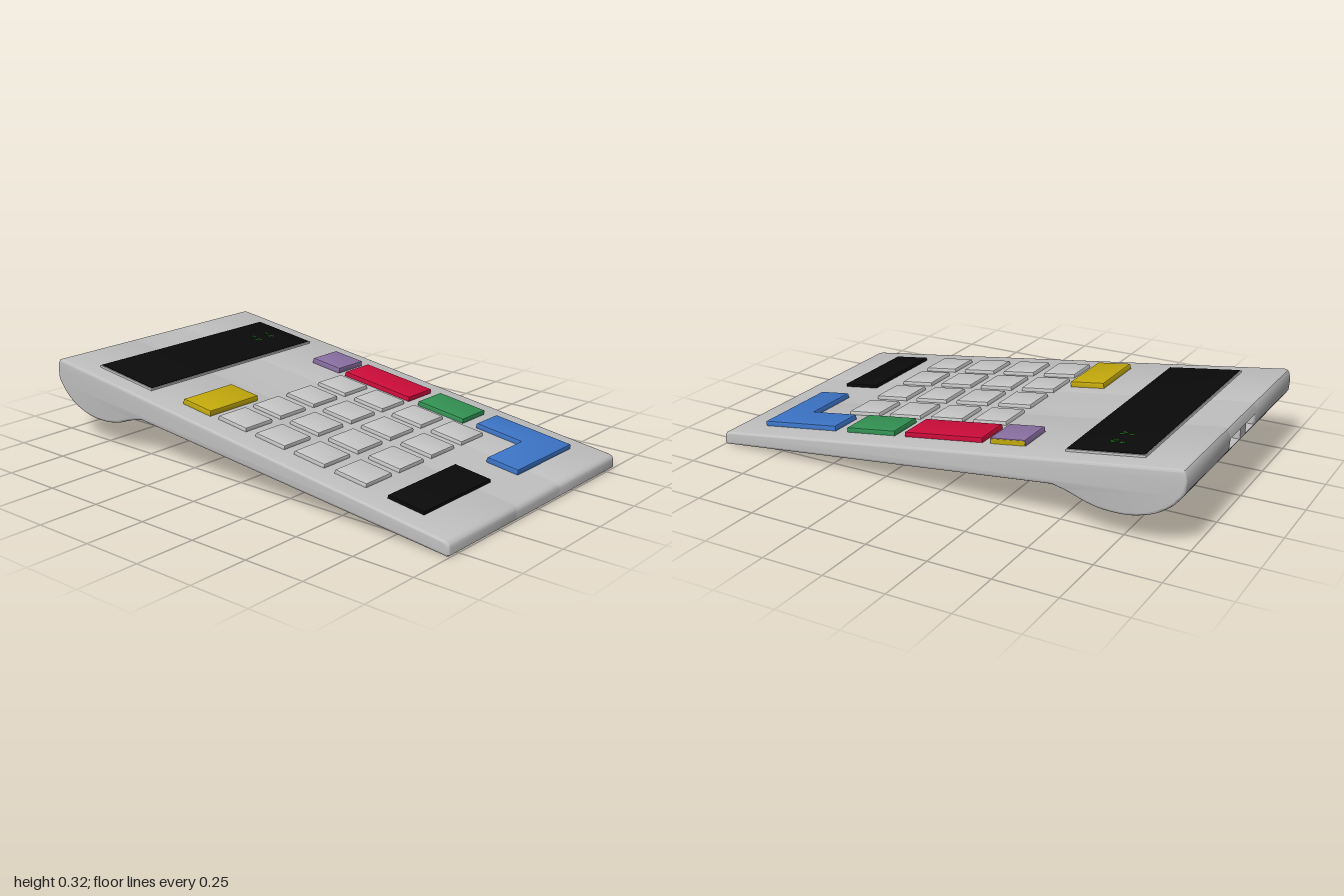
import * as THREE from 'three';
import { toCreasedNormals } from 'three/addons/utils/BufferGeometryUtils.js';

const mat = (name, color) => {
  const m = new THREE.MeshStandardMaterial({ color });
  m.name = name;
  return m;
};

export function createModel() {
  const grey = mat('case grey', 0xc0c0c0);
  const light = mat('key grey', 0xc6c6c6);
  const black = mat('black', 0x0a0a0a);
  const yellow = mat('yellow', 0xc4aa0c);
  const purple = mat('purple', 0x8a70a2);
  const red = mat('red', 0xcc0c3a);
  const green = mat('green', 0x329152);
  const blue = mat('blue', 0x3c74c6);
  const lime = mat('display green', 0x18a018);

  const model = new THREE.Group();
  model.name = 'calculator';
  const add = (parent, name, geometry, material) => {
    const mesh = new THREE.Mesh(geometry, material);
    mesh.name = name;
    parent.add(mesh);
    return mesh;
  };

  // Side profile as [z, y]: flat base, rounded rear foot, back wall, sloping top
  const toV = (list) => list.map(([a, b]) => new THREE.Vector2(a, b));
  const foot = new THREE.SplineCurve(toV([
    [-0.49, 0.158], [-0.555, 0.142], [-0.625, 0.118], [-0.69, 0.106], [-0.76, 0.105],
    [-0.82, 0.114], [-0.887, 0.138], [-0.94, 0.174], [-0.975, 0.214], [-0.99, 0.238],
  ])).getPoints(27);
  const notch = [[-0.95, 0.238], [-0.95, 0.282]];
  const profile = (withNotch) => new THREE.Shape([
    ...toV([[0.992, 0], [0.9, 0.01]]), ...foot,
    ...toV(withNotch ? notch : []),
    ...toV([[-0.993, 0.282], [-0.987, 0.308], [-0.981, 0.318], [-0.97, 0.322],
      [0.975, 0.0565], [0.99, 0.052], [0.998, 0.043], [1, 0.03], [1, 0.006]]),
  ]);

  // Case: two outer blocks with softened edges and a notched middle block
  const slab = (name, shape, x0, x1, bevel) => {
    const g = new THREE.ExtrudeGeometry(shape, {
      depth: x1 - x0 - 2 * bevel, bevelEnabled: bevel > 0, bevelSize: bevel,
      bevelThickness: bevel, bevelOffset: -bevel, bevelSegments: 3,
    });
    g.rotateY(-Math.PI / 2).translate(x1 - bevel, 0, 0);
    // the extrusion runs toward -x, from x1 down to x0
    add(model, name, toCreasedNormals(g, 0.6), grey);
  };
  slab('caseLeft', profile(false), 0.13, 0.558, 0.01);
  slab('caseRight', profile(false), -0.558, -0.13, 0.01);
  slab('caseMiddle', profile(true), -0.145, 0.145, 0);
  add(model, 'portBlock', new THREE.BoxGeometry(0.06, 0.046, 0.045).translate(0, 0.26, -0.969), grey);

  // Everything on the sloping face lives in a tilted group
  const slope = 0.1365, tilt = Math.atan(slope);
  const face = new THREE.Group();
  face.name = 'topFace';
  face.position.y = 0.1895;
  face.rotation.x = tilt;
  model.add(face);
  const along = 1 / Math.cos(tilt);

  // Raised key from an outline of [x, z] corners
  const key = (name, outline, height, material, bevel = 0.005) => {
    const pts = outline.map(([x, z]) => new THREE.Vector2(x, -z * along));
    const g = new THREE.ExtrudeGeometry(new THREE.Shape(pts), {
      depth: height + 0.012 - 2 * bevel, bevelSize: bevel, bevelThickness: bevel,
      bevelOffset: -bevel, bevelSegments: 2,
    });
    g.rotateX(-Math.PI / 2).translate(0, bevel - 0.012, 0);
    return add(face, name, toCreasedNormals(g, 0.5), material);
  };
  const rect = (x0, x1, z0, z1) => [[x0, z1], [x1, z1], [x1, z0], [x0, z0]];

  // Number keys
  for (const z of [-0.08, 0.114, 0.307, 0.501])
    for (const x of [-0.387, -0.193, 0.003, 0.199])
      key('numberKey', rect(x - 0.073, x + 0.073, z - 0.072, z + 0.072), 0.016, light);

  // Coloured keys
  key('yellowKey', rect(-0.467, -0.202, -0.337, -0.19), 0.023, yellow);
  key('purpleKey', rect(0.308, 0.461, -0.337, -0.19), 0.023, purple);
  add(face, 'purpleKeySide', new THREE.BoxGeometry(0.002, 0.019, 0.142).translate(0.461, 0.0095, -0.2635 * along), yellow);
  key('redKey', rect(0.308, 0.461, -0.156, 0.183), 0.02, red);
  key('greenKey', rect(0.308, 0.461, 0.231, 0.453), 0.02, green);
  key('blueKey', [[0.08, 0.858], [0.459, 0.858], [0.459, 0.512], [0.318, 0.512], [0.318, 0.72], [0.08, 0.72]], 0.021, blue);

  // Solar panel
  key('solarPanel', rect(-0.462, -0.056, 0.671, 0.828), 0.013, black, 0.001);

  // Display: grey bezel with a black window
  key('displayBezel', rect(-0.48, 0.48, -0.812, -0.506), 0.009, grey, 0.002);
  key('displayWindow', rect(-0.475, 0.475, -0.808, -0.51), 0.0115, black, 0.001);

  // Lit display segments
  for (const x of [0.297, 0.377])
    for (const [dx, z] of [[-0.01, -0.652], [0.008, -0.685], [0.005, -0.645]])
      add(face, 'displaySegment', new THREE.BoxGeometry(0.006, 0.002, 0.018)
        .translate(x + dx, 0.0118, z * along), lime);

  return model;
}
